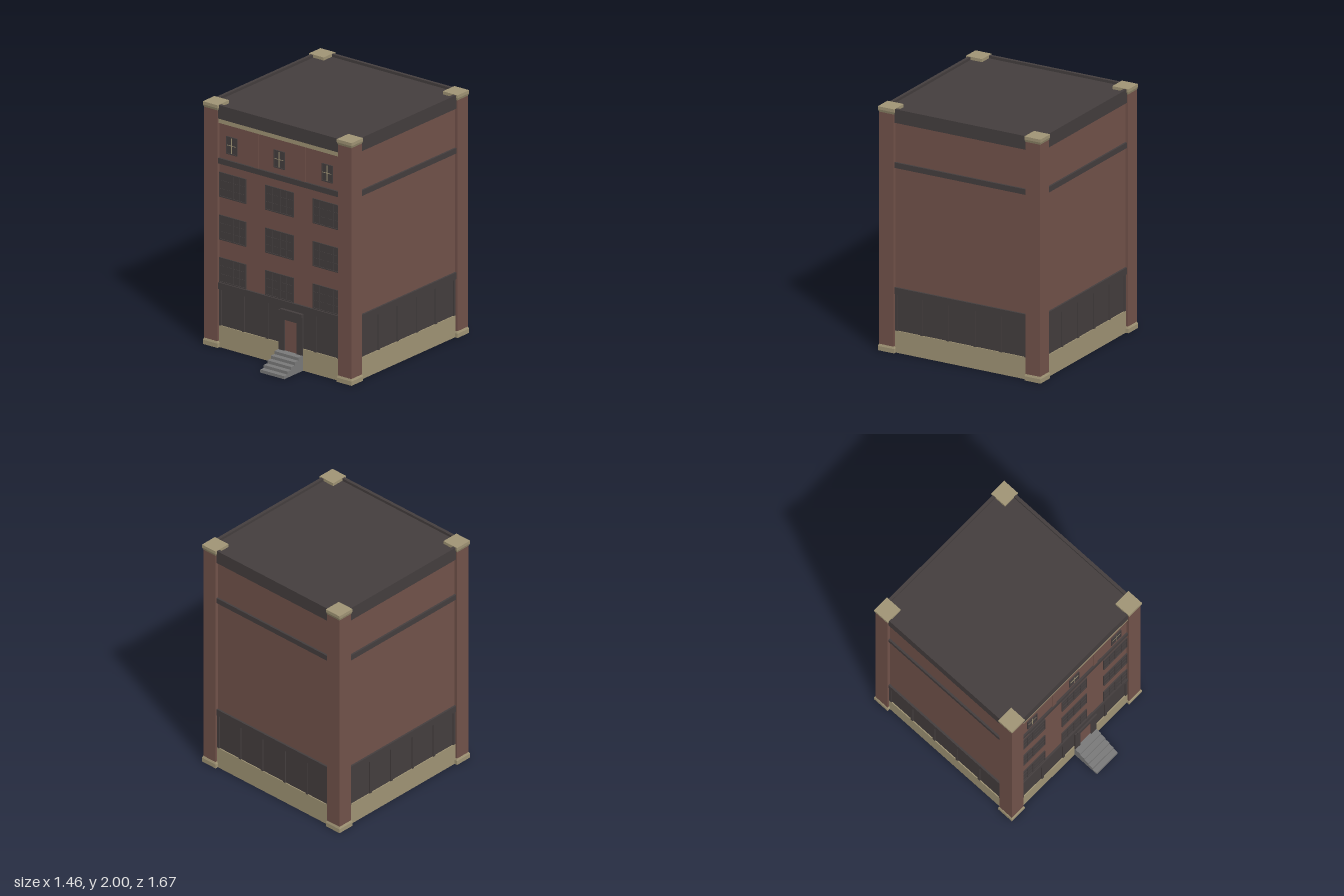
import * as THREE from 'three';

const flat = (name, color) => {
  const m = new THREE.MeshStandardMaterial({ color });
  m.name = name;
  return m;
};

export function createModel() {
  const brick = flat('brick red', 0x72524a);
  const dark = flat('charcoal', 0x443e3e);
  const tan = flat('sandstone', 0xa09475);
  const grey = flat('step grey', 0x7a7a7a);

  const model = new THREE.Group();
  model.name = 'building';
  model.position.z = -0.125; // the steps project in front of the square plan
  const W = 0.697;           // wall plane, half width
  const P = 0.6575;          // corner pillar centre
  const IN = 0.592;          // half of the wall run between pillars

  // box given by its limits
  const box = (parent, name, mat, x0, x1, y0, y1, z0, z1) => {
    const m = new THREE.Mesh(new THREE.BoxGeometry(x1 - x0, y1 - y0, z1 - z0), mat);
    m.position.set((x0 + x1) / 2, (y0 + y1) / 2, (z0 + z1) / 2);
    m.name = name;
    parent.add(m);
    return m;
  };
  // square tapered block
  const taper = (parent, name, mat, rBottom, rTop, y0, y1) => {
    const g = new THREE.CylinderGeometry(rTop * Math.SQRT2, rBottom * Math.SQRT2, y1 - y0, 4).toNonIndexed();
    g.rotateY(Math.PI / 4);
    g.computeVertexNormals();
    const m = new THREE.Mesh(g, mat);
    m.position.y = (y0 + y1) / 2;
    m.name = name;
    parent.add(m);
  };

  // main storeys, roof and raised floor
  box(model, 'groundFloor', dark, -W, W, 0.16, 0.51, -W, W);
  box(model, 'upperFloors', brick, -W, W, 0.51, 1.9, -W, W);
  box(model, 'roof', dark, -W, W, 1.9, 1.975, -W, W);
  box(model, 'floorSlab', tan, -0.68, 0.68, 0.14, 0.16, -0.68, 0.68);

  // the same plinth, panels and trim run along all four sides
  for (let i = 0; i < 4; i++) {
    const side = new THREE.Group();
    side.name = ['front', 'leftSide', 'back', 'rightSide'][i] + 'Trim';
    side.rotation.y = i * Math.PI / 2;
    model.add(side);
    box(side, 'plinthInside', brick, -0.685, 0.685, 0.004, 0.16, 0.675, 0.685);
    if (i === 0) {
      box(side, 'plinth', tan, -0.69, 0, 0, 0.18, 0.685, 0.705);
      box(side, 'plinth', tan, 0.235, 0.69, 0, 0.18, 0.685, 0.705);
      box(side, 'plinthBehindSteps', dark, 0, 0.235, 0, 0.18, 0.685, 0.7);
    } else {
      box(side, 'plinth', tan, -0.69, 0.69, 0, 0.18, 0.685, 0.705);
    }
    const stiles = i === 0 ? [-0.58, -0.355, -0.12, 0.35, 0.58] : [-0.58, -0.355, -0.12, 0.12, 0.355, 0.58];
    for (const x of stiles) box(side, 'panelStile', dark, x - 0.011, x + 0.011, 0.18, 0.48, W - 0.01, 0.706);
    box(side, 'lowerBand', dark, -IN, IN, 0.48, 0.535, W - 0.01, 0.713);
    box(side, 'upperBand', dark, -IN, IN, 1.515, 1.56, W - 0.01, 0.713);
    box(side, 'cornice', dark, -IN - 0.05, IN + 0.05, 1.885, 1.997, W - 0.01, 0.713);

    // corner pillar with flared base and cap
    const pillar = new THREE.Group();
    pillar.name = 'cornerPillar';
    pillar.position.set(P, 0, P);
    side.add(pillar);
    box(pillar, 'shaft', brick, -0.065, 0.065, 0.04, 1.96, -0.065, 0.065);
    taper(pillar, 'base', tan, 0.0725, 0.0725, 0, 0.035);
    taper(pillar, 'baseSlope', tan, 0.0725, 0.066, 0.035, 0.052);
    taper(pillar, 'capSlope', tan, 0.066, 0.0725, 1.955, 1.975);
    taper(pillar, 'cap', tan, 0.0725, 0.0725, 1.975, 2);
  }

  // facade strips on the top storey
  box(model, 'stoneStrip', tan, -IN, IN, 1.85, 1.885, W - 0.01, 0.711);
  for (const x of [-0.225, 0.235]) box(model, 'pilasterStrip', brick, x - 0.022, x + 0.022, 1.56, 1.85, W - 0.01, 0.705);

  // window: thin pane, frame and bars
  const makeWindow = (name, cx, y0, w, h, bars, cols, rows) => {
    const g = new THREE.Group();
    g.name = name;
    g.position.set(cx, y0, W);
    model.add(g);
    const a = w / 2, t = 0.008;
    box(g, 'pane', dark, -a, a, 0, h, -0.002, 0.003);
    for (const s of [-1, 1]) box(g, 'frameSide', dark, s * (a - t / 2) - t / 2, s * (a - t / 2) + t / 2, 0, h, 0, 0.009);
    for (const y of [0, h - t]) box(g, 'frameRail', dark, -a, a, y, y + t, 0, 0.009);
    for (let c = 1; c < cols; c++) {
      const x = -a + w * c / cols, k = cols === 4 && c === 2 ? 0.008 : 0.002;
      box(g, 'upright', bars, x - k, x + k, t, h - t, 0, 0.008);
    }
    for (let r = 1; r < rows; r++) box(g, 'crossbar', bars, -a + t, a - t, h * r / rows - 0.002, h * r / rows + 0.002, 0, 0.006);
  };
  for (const x of [-0.46, 0, 0.46]) {
    for (const y of [0.537, 0.887, 1.24]) makeWindow('window', x, y, x ? 0.262 : 0.28, 0.204, dark, 4, 3);
    makeWindow('atticWindow', x ? x * 1.02 : -0.002, 1.61, 0.108, 0.145, tan, 2, 2);
  }

  // entrance
  box(model, 'door', brick, 0.055, 0.178, 0.125, 0.38, W, 0.703);
  box(model, 'doorJamb', dark, 0, 0.055, 0.125, 0.45, W - 0.01, 0.713);
  box(model, 'doorJamb', dark, 0.178, 0.235, 0.125, 0.45, W - 0.01, 0.713);
  box(model, 'doorLintel', dark, 0.055, 0.178, 0.38, 0.45, W - 0.01, 0.713);
  box(model, 'doorHood', dark, 0.02, 0.235, 0.44, 0.465, W - 0.01, 0.722);

  // front steps
  for (let i = 0; i < 5; i++) {
    box(model, 'step', grey, 0, 0.235, 0.025 * i, 0.025 * (i + 1), 0.695, 0.94 - 0.044 * i);
  }

  const root = new THREE.Group();
  root.name = 'apartmentBuilding';
  root.add(model);
  return root;
}
